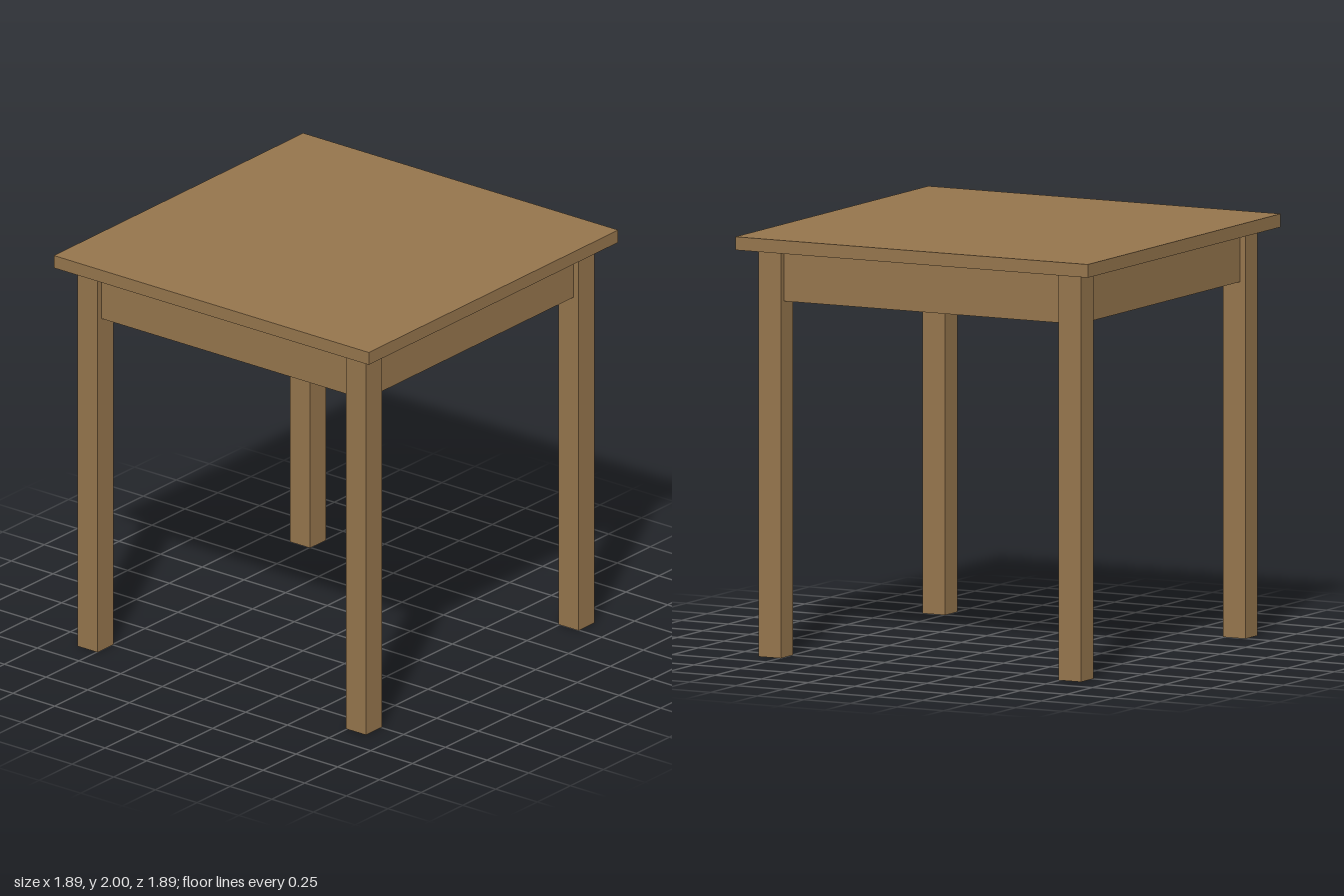
import * as THREE from 'three';

export function createModel() {
  const table = new THREE.Group();
  table.name = 'table';
  const wood = new THREE.MeshStandardMaterial({ name: 'brown wood', color: 0x94744c });

  const addBox = (name, w, h, d, x, y, z) => {
    const mesh = new THREE.Mesh(new THREE.BoxGeometry(w, h, d), wood);
    mesh.name = name;
    mesh.position.set(x, y, z);
    table.add(mesh);
  };

  const topHeight = 0.063, legSize = 0.12, legCentre = 0.805;
  const underside = 2 - topHeight;

  // Square top
  addBox('tableTop', 1.89, topHeight, 1.89, 0, 2 - topHeight / 2, 0);

  // Four square legs
  for (const [sx, side] of [[1, 'Left'], [-1, 'Right']]) {
    for (const [sz, end] of [[1, 'front'], [-1, 'back']]) {
      addBox(`${end}${side}Leg`, legSize, underside, legSize, sx * legCentre, underside / 2, sz * legCentre);
    }
  }

  // Apron boards between the legs, set in from the leg faces
  const apronHeight = 0.243, apronDepth = 0.06;
  const apronLength = 2 * legCentre - legSize;
  const apronY = underside - apronHeight / 2;
  for (const s of [1, -1]) {
    addBox(s > 0 ? 'frontApron' : 'backApron', apronLength, apronHeight, apronDepth, 0, apronY, s * legCentre);
    addBox(s > 0 ? 'leftApron' : 'rightApron', apronDepth, apronHeight, apronLength, s * legCentre, apronY, 0);
  }
  return table;
}
